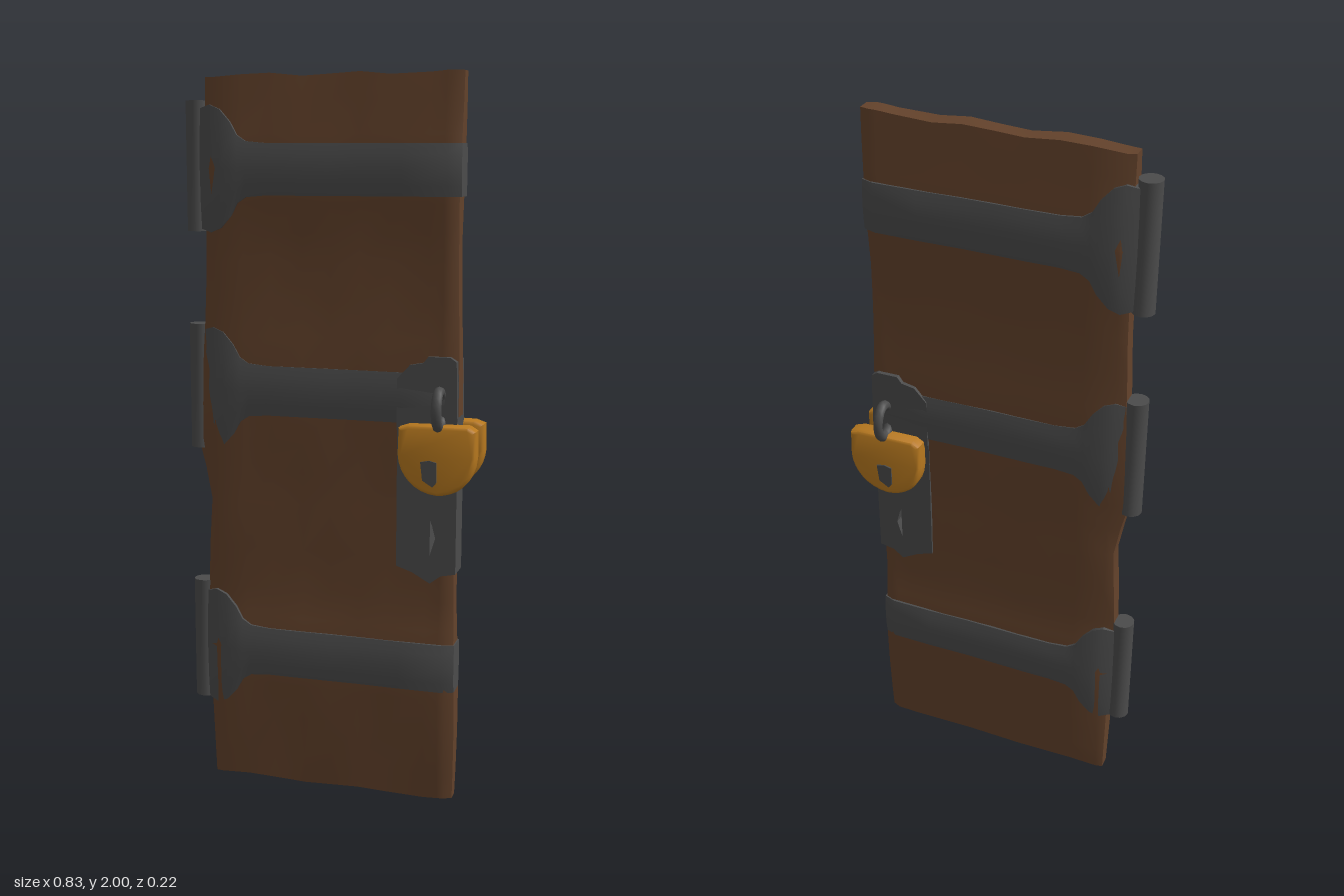
import * as THREE from 'three';
import { toCreasedNormals } from 'three/addons/utils/BufferGeometryUtils.js';

const mat = (name, color) => new THREE.MeshStandardMaterial({ name, color });

// Linear lookup in a list of [key, value] pairs
function lerpTable(table, k) {
  for (let i = 1; i < table.length; i++) {
    const [a, va] = table[i - 1], [b, vb] = table[i];
    if (k <= b) return va + (vb - va) * Math.max(0, (k - a) / (b - a));
  }
  return table[table.length - 1][1];
}

// Two-sided plate on a grid; place(u, v, side) gives a point, hole(i, j) leaves out a cell
function plate(us, vs, place, hole = () => false) {
  const nu = us.length, nv = vs.length, pos = [], idx = [];
  for (const side of [1, -1])
    for (const v of vs) for (const u of us) pos.push(...place(u, v, side));
  const back = nu * nv;
  const solid = (i, j) => i >= 0 && j >= 0 && i < nu - 1 && j < nv - 1 && !hole(i, j);
  for (let j = 0; j < nv - 1; j++) for (let i = 0; i < nu - 1; i++) {
    if (!solid(i, j)) continue;
    const a = j * nu + i, b = a + 1, c = b + nu, d = a + nu;
    idx.push(a, b, c, a, c, d);
    idx.push(a + back, c + back, b + back, a + back, d + back, c + back);
    const wall = (p, q) => idx.push(p, p + back, q + back, p, q + back, q);
    if (!solid(i, j - 1)) wall(a, b);
    if (!solid(i + 1, j)) wall(b, c);
    if (!solid(i, j + 1)) wall(c, d);
    if (!solid(i - 1, j)) wall(d, a);
  }
  const g = new THREE.BufferGeometry();
  g.setAttribute('position', new THREE.Float32BufferAttribute(pos, 3));
  g.setIndex(idx);
  return toCreasedNormals(g, 0.6);
}

export function createModel() {
  const door = new THREE.Group();
  door.name = 'door';
  const wood = mat('wood', 0x63422b);
  const iron = mat('iron', 0x4b4b4b);
  const brass = mat('brass', 0xb8791f);
  const add = (name, geometry, material, parent = door) => {
    const m = new THREE.Mesh(geometry, material);
    m.name = name;
    parent.add(m);
    return m;
  };

  // Worn wooden slab, uneven in thickness and outline
  const thick = [[0, .024], [.3, .04], [.4, .044], [.5, .034], [.58, .027], [.7, .032], [.85, .03],
    [1.05, .036], [1.2, .037], [1.4, .028], [1.58, .03], [1.66, .038], [1.75, .044], [1.84, .036], [2, .025]];
  const leftEdge = [[0, -.355], [.3, -.362], [.6, -.368], [.85, -.353], [1, -.39], [1.3, -.368], [1.5, -.36], [2, -.357]];
  const xs = [-.36, -.335, -.25, -.17, -.08, 0, .08, .16, .27, .31, .33, .352];
  const ys = [0, .08, .2, .3, .4, .5, .58, .7, .83, .92, 1.0, 1.1, 1.2, 1.3, 1.4, 1.5, 1.58, 1.66, 1.75, 1.84, 1.93, 2];
  const slab = plate(xs, ys, (x, y, s) => {
    const edge = x < -.34 || x > .34;
    const px = x < -.34 ? lerpTable(leftEdge, y) : x > .34 ? x + .004 * Math.sin(y * 7) : x;
    const wave = y === 2 ? -.005 + .005 * Math.sin(x * 24) : y === 0 ? .006 + .004 * Math.sin(x * 20) : 0;
    const z = lerpTable(thick, y) * (edge ? .7 : 1) + (edge ? 0 : .002 * Math.sin(x * 21 + y * 9));
    return [px, y + wave, s * z];
  }, (i, j) => xs[i] === .27 && ys[j] === .7);
  add('woodenSlab', slab, wood);

  // Strap hinges wrapping both faces, with a flared end and a pin barrel
  const flare = [[-.375, .16], [-.34, .17], [-.31, .158], [-.28, .125], [-.26, .09], [-.235, .074], [-.18, .069], [.36, .068]];
  const depth = [[-.375, .026], [-.34, .042], [-.29, .05], [-.1, .052], [.08, .049], [.2, .052], [.32, .051], [.355, .036]];
  const strapXs = [-.375, -.34, -.31, -.28, -.26, -.235, -.18, -.1, 0, .08, .2, .32, .355];
  for (const [name, y, barrelY, bulge] of [['top', 1.748, 1.755, 1], ['middle', 1.148, 1.15, .9], ['bottom', .395, .41, 1]]) {
    const hinge = new THREE.Group();
    hinge.name = name + 'Hinge';
    door.add(hinge);
    add('strap', plate(strapXs, [-1, -.6, 0, .6, 1], (x, v, s) =>
      [x, y + v * lerpTable(flare, x), s * lerpTable(depth, x) * bulge * (1 - .16 * v * v)]), iron, hinge);
    const barrel = toCreasedNormals(new THREE.CylinderGeometry(.031, .031, .35, 12), .7);
    add('barrel', barrel, iron, hinge).position.set(-.389, barrelY, 0);
  }

  // Lock plate wrapped round the free edge, pierced by a keyhole
  const outline = (pts) => pts.map(([x, y]) => new THREE.Vector2(x, y));
  const slabOf = (shape, d) => new THREE.ExtrudeGeometry(shape, { depth: d, bevelEnabled: false }).translate(0, 0, -d / 2);
  const lower = new THREE.Shape(outline([[.19, .68], [.235, .665], [.285, .637], [.315, .66], [.356, .668], [.356, 1.1], [.19, 1.1]]));
  lower.holes.push(new THREE.Path(outline([[.284, .715], [.284, .815], [.29, .8], [.299, .765]])));
  add('lockPlate', slabOf(lower, .076), iron);
  const upper = new THREE.Shape(outline([[.19, 1.06], [.356, 1.06], [.352, 1.25], [.335, 1.262], [.275, 1.262], [.262, 1.245], [.225, 1.238], [.19, 1.2]]));
  add('staplePlate', slabOf(upper, .09), iron);

  // Padlock with rounded lower edge, mirrored onto both faces
  const body = new THREE.Shape();
  body.moveTo(.212, 1.066);
  body.lineTo(.23, 1.072);
  body.lineTo(.39, 1.074);
  body.lineTo(.403, 1.066);
  body.lineTo(.404, 1.0);
  body.bezierCurveTo(.4, .93, .355, .905, .31, .902);
  body.bezierCurveTo(.25, .905, .213, .95, .21, 1.0);
  const bodyGeo = toCreasedNormals(new THREE.ExtrudeGeometry(body, {
    depth: .028, bevelThickness: .012, bevelSize: .01, bevelSegments: 2, curveSegments: 8,
  }).translate(0, 0, .042), .8);
  const escutcheon = new THREE.Shape(outline([[.266, .985], [.272, .935], [.3, .918], [.31, .93], [.31, .985], [.29, .99]]));
  const ringGeo = new THREE.TorusGeometry(.044, .013, 8, 20).scale(.8, 1.1, 1.1).rotateY(Math.PI / 2);
  for (const side of [1, -1]) {
    const lock = new THREE.Group();
    lock.name = side > 0 ? 'frontPadlock' : 'backPadlock';
    door.add(lock);
    const b = add('lockBody', bodyGeo, brass, lock);
    const k = add('keyholeCover', slabOf(escutcheon, .006), iron, lock);
    k.position.z = side * .083;
    if (side < 0) {
      // Turn about the body's own centre line to face the back
      b.rotation.y = Math.PI;
      b.position.x = .614;
      k.rotation.y = Math.PI;
      k.position.x = .596;
    }
    add('shackle', ringGeo, iron, lock).position.set(.311, 1.125, side * .066);
  }
  return door;
}
